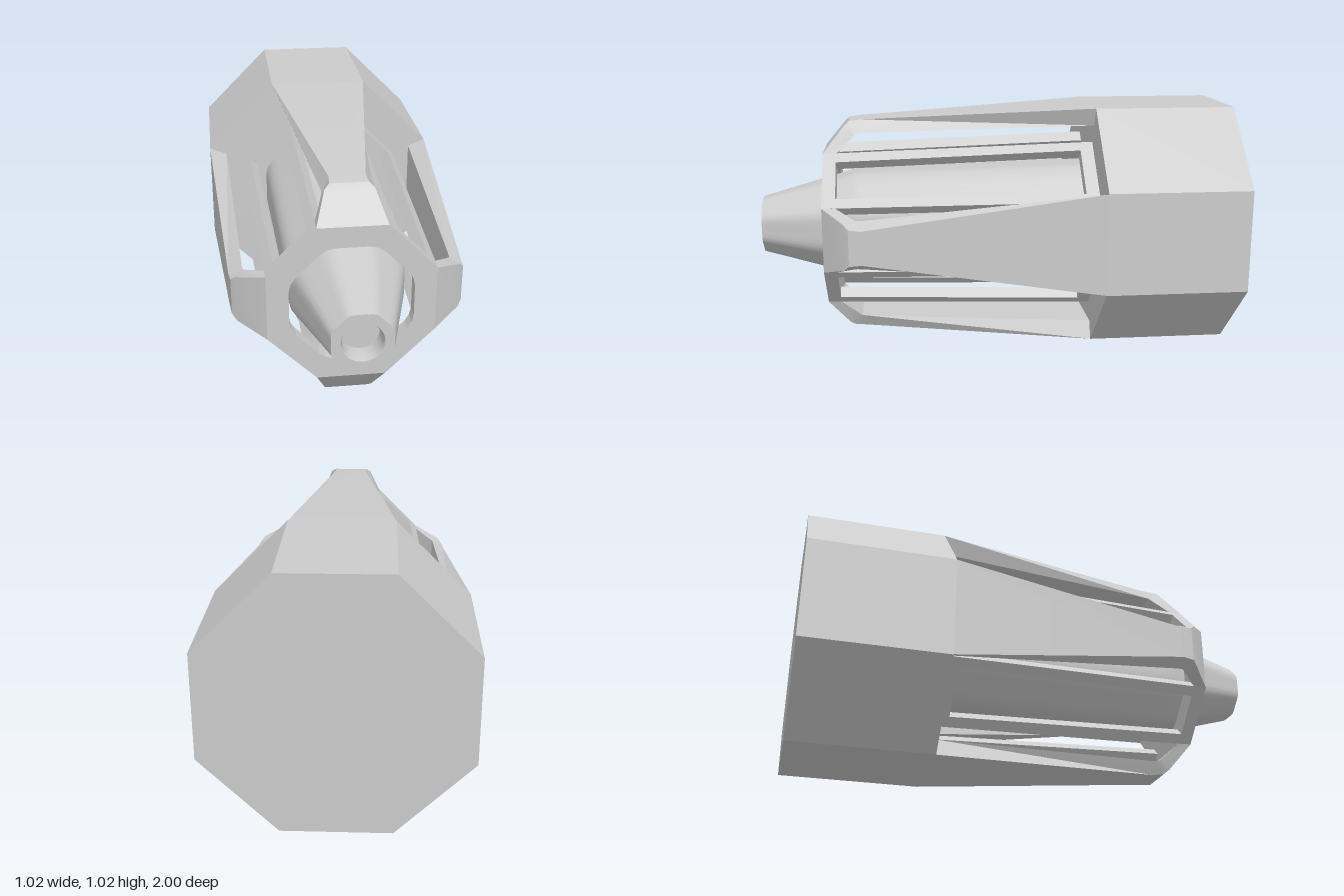
import * as THREE from 'three';
import { toCreasedNormals } from 'three/addons/utils/BufferGeometryUtils.js';

const AXIS_Y = 0.51;
const OCT = Math.PI / 4;
const material = new THREE.MeshStandardMaterial({ color: 0xcccccc });

// Octagon with flats on the axes, corners cut off by a circle of radius apothem * round
function roundedOctagon(apothem, round, count = 48) {
  return Array.from({ length: count }, (_, i) => {
    const t = (i / count) * Math.PI * 2;
    const off = t - Math.round(t / OCT) * OCT;
    const r = apothem * Math.min(1 / Math.cos(off), round);
    return new THREE.Vector2(r * Math.cos(t), r * Math.sin(t));
  });
}

// Skin between closed cross-sections, counter-clockwise seen from the front
function loft(sections, crease) {
  const n = sections[0].length;
  const index = [];
  for (let s = 0; s < sections.length - 1; s++) {
    for (let i = 0; i < n; i++) {
      const a = s * n + i, b = s * n + (i + 1) % n;
      index.push(a, b, b + n, a, b + n, a + n);
    }
  }
  const geo = new THREE.BufferGeometry().setFromPoints(sections.flat());
  geo.setIndex(index);
  return toCreasedNormals(geo, crease);
}

function createBody() {
  const geo = new THREE.CylinderGeometry(0.51 / Math.cos(OCT / 2), 0.51 / Math.cos(OCT / 2), 0.59, 8)
    .rotateY(OCT / 2).rotateX(Math.PI / 2).translate(0, 0, -0.705);
  return toCreasedNormals(geo, 0.3);
}

// Barrel, tapered nozzle and blind bore: z, apothem, corner rounding
function createCore() {
  const profile = [
    [-0.41, 0.25, 1.05], [0.59, 0.228, 1.05], [0.615, 0.221, 1.05], [1, 0.115, 1.06],
    [1, 0.08, 1], [0.985, 0.074, 1], [0.92, 0.074, 1], [0.92, 0, 1],
  ];
  return loft(profile.map(([z, a, round]) =>
    roundedOctagon(a, round).map((p) => new THREE.Vector3(p.x, p.y, z))), 0.5);
}

function createFrontRing() {
  const h = 0.135, a = 0.325;
  const shape = new THREE.Shape([
    [a, -h], [a, h], [h, a], [-h, a], [-a, h], [-a, -h], [-h, -a], [h, -a],
  ].map(([x, y]) => new THREE.Vector2(x, y)));
  shape.holes.push(new THREE.Path(roundedOctagon(0.24, 1.05)));
  return new THREE.ExtrudeGeometry(shape, { depth: 0.055, bevelEnabled: false }).translate(0, 0, 0.675);
}

// Tapering strut, each row: outer z, height, half width, then inner z, height, half width
function createStrut() {
  const rows = [
    [-0.41, 0.51, 0.21, -0.41, 0.435, 0.18],
    [0.57, 0.459, 0.07, 0.57, 0.406, 0.1],
    [0.62, 0.453, 0.075, 0.59, 0.403, 0.1],
    [0.64, 0.436, 0.095, 0.605, 0.39, 0.105],
    [0.73, 0.325, 0.135, 0.675, 0.325, 0.135],
  ];
  return loft(rows.map(([zo, yo, wo, zi, yi, wi]) => [
    new THREE.Vector3(-wi, yi, zi), new THREE.Vector3(wi, yi, zi),
    new THREE.Vector3(wo, yo, zo), new THREE.Vector3(-wo, yo, zo),
  ]), 0.45);
}

// Flat slotted panel, leaned inward toward the front
function createSlottedPanel() {
  const trapezoid = (back, front, z0, z1) => [
    [-back, z0], [back, z0], [front, z1], [-front, z1],
  ].map(([x, y]) => new THREE.Vector2(x, y));
  const shape = new THREE.Shape(trapezoid(0.152, 0.135, -0.41, 0.73));
  shape.holes.push(new THREE.Path(trapezoid(0.109, 0.09, -0.355, 0.675)));
  const geo = new THREE.ExtrudeGeometry(shape, { depth: 0.05, bevelEnabled: false });
  const p = geo.attributes.position;
  for (let i = 0; i < p.count; i++) {
    const z = p.getY(i);
    const outer = THREE.MathUtils.mapLinear(z, -0.41, 0.73, 0.357, 0.325);
    p.setXYZ(i, p.getX(i), outer - p.getZ(i), z);
  }
  geo.computeVertexNormals();
  return geo;
}

export function createModel() {
  const group = new THREE.Group();
  group.name = 'octagonalNozzleUnit';
  const add = (name, geometry, angle = 0) => {
    const mesh = new THREE.Mesh(geometry, material);
    mesh.name = name;
    mesh.position.y = AXIS_Y;
    mesh.rotation.z = angle;
    group.add(mesh);
  };

  add('rearBody', createBody());
  add('coreNozzle', createCore());
  add('frontRing', createFrontRing());

  // Struts on the axes, slotted panels on the diagonals
  const strut = createStrut();
  const panel = createSlottedPanel();
  ['top', 'right', 'bottom', 'left'].forEach((side, i) => {
    add(`${side}Strut`, strut, -i * 2 * OCT);
    add(`slottedPanel${i + 1}`, panel, -(i * 2 + 1) * OCT);
  });
  // The second strut points to +x, which is the model's left
  group.getObjectByName('rightStrut').name = 'sideStrutLeft';
  group.getObjectByName('leftStrut').name = 'sideStrutRight';
  return group;
}
